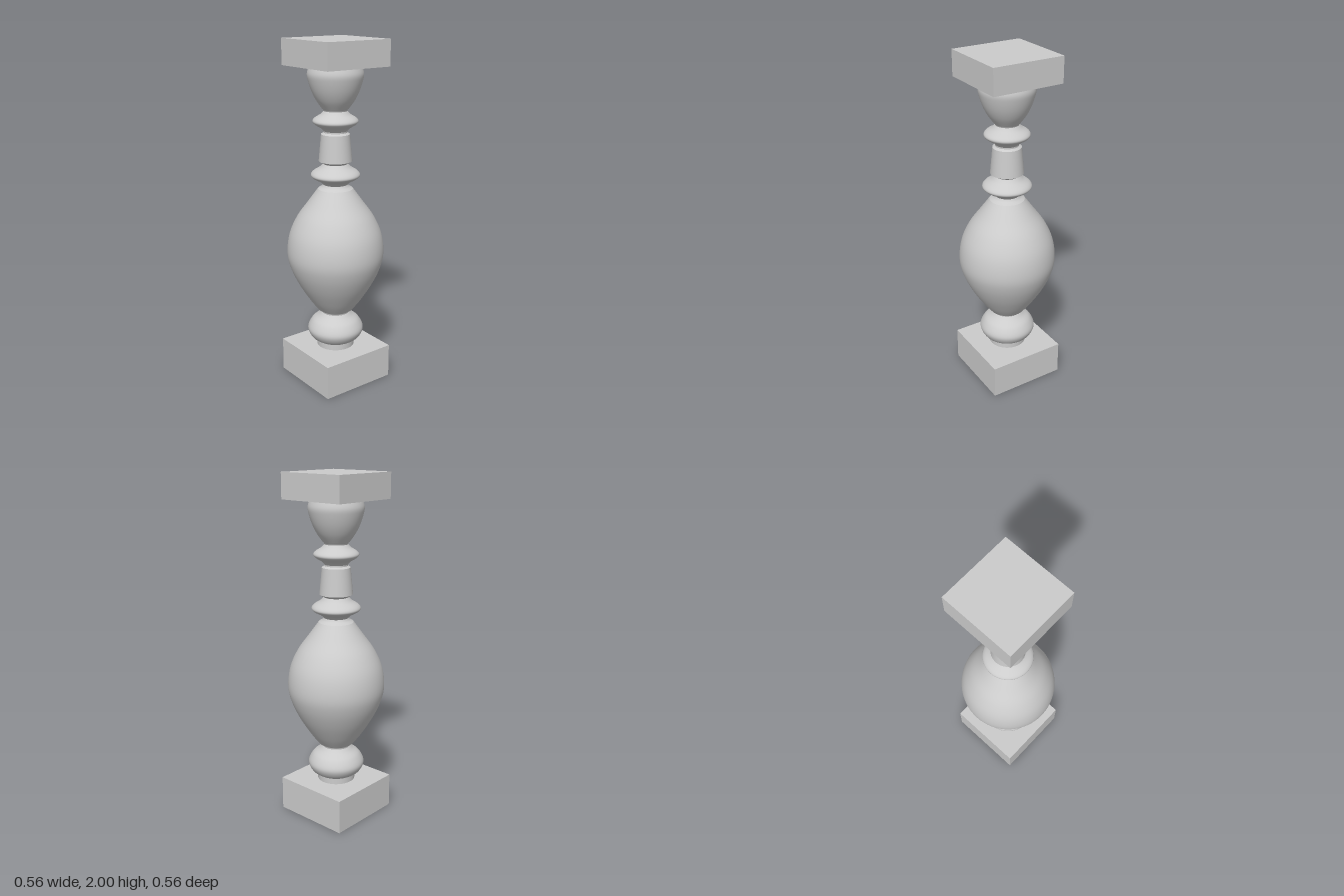
import * as THREE from 'three';

const material = new THREE.MeshStandardMaterial({ color: 0xcccccc });

// Turned section: [radius, height] points from bottom to top, smoothed by a spline or left straight
function turned(name, points, smooth = true) {
  let profile = points.map(([r, y]) => new THREE.Vector2(r, y));
  if (smooth) profile = new THREE.SplineCurve(profile).getPoints(points.length * 5);
  const mesh = new THREE.Mesh(new THREE.LatheGeometry(profile, 64), material);
  mesh.name = name;
  return mesh;
}

// Square block standing between two heights
function block(name, width, bottom, top) {
  const mesh = new THREE.Mesh(new THREE.BoxGeometry(width, top - bottom, width), material);
  mesh.position.y = (bottom + top) / 2;
  mesh.name = name;
  return mesh;
}

// Thin lens-shaped ring with slightly hollow flanks
function ring(name, bottom, middle, top, neck, radius) {
  const at = (t) => neck + (radius - neck) * t;
  const low = (t) => bottom + (middle - bottom) * t;
  const high = (t) => top + (middle - top) * t;
  return turned(name, [
    [neck, bottom], [at(0.3), low(0.34)], [at(0.82), low(0.7)], [radius, middle],
    [at(0.82), high(0.7)], [at(0.3), high(0.34)], [neck, top],
  ]);
}

export function createModel() {
  const baluster = new THREE.Group();
  baluster.name = 'baluster';
  baluster.add(
    block('plinth', 0.46, 0, 0.2),
    turned('foot', [[0.11, 0.2], [0.11, 0.235]], false),
    turned('baseRing', [[0.11, 0.235], [0.145, 0.26], [0.165, 0.308], [0.14, 0.36], [0.1, 0.39], [0.08, 0.41]]),
    turned('lowerNeck', [[0.08, 0.41], [0.084, 0.422], [0.105, 0.433]]),
    // Large vase-shaped belly
    turned('belly', [
      [0.105, 0.433], [0.155, 0.5], [0.217, 0.6], [0.262, 0.7], [0.28, 0.79],
      [0.266, 0.9], [0.222, 1.0], [0.158, 1.09], [0.1, 1.17],
    ]),
    turned('bellyShoulder', [[0.1, 1.17], [0.08, 1.182], [0.07, 1.195]]),
    ring('middleRing', 1.195, 1.25, 1.315, 0.07, 0.14),
    // Tapered collar between the two rings
    turned('collar', [[0.07, 1.315], [0.095, 1.33], [0.081, 1.483], [0.066, 1.492], [0.066, 1.5]].flatMap(
      (p) => [p, p]), false),
    ring('upperRing', 1.5, 1.555, 1.612, 0.066, 0.128),
    turned('upperNeck', [[0.066, 1.612], [0.068, 1.62], [0.075, 1.625]], false),
    turned('cup', [[0.075, 1.625], [0.107, 1.67], [0.132, 1.72], [0.15, 1.775], [0.156, 1.815], [0.145, 1.855]]),
    block('capital', 0.42, 1.855, 2),
  );
  return baluster;
}
